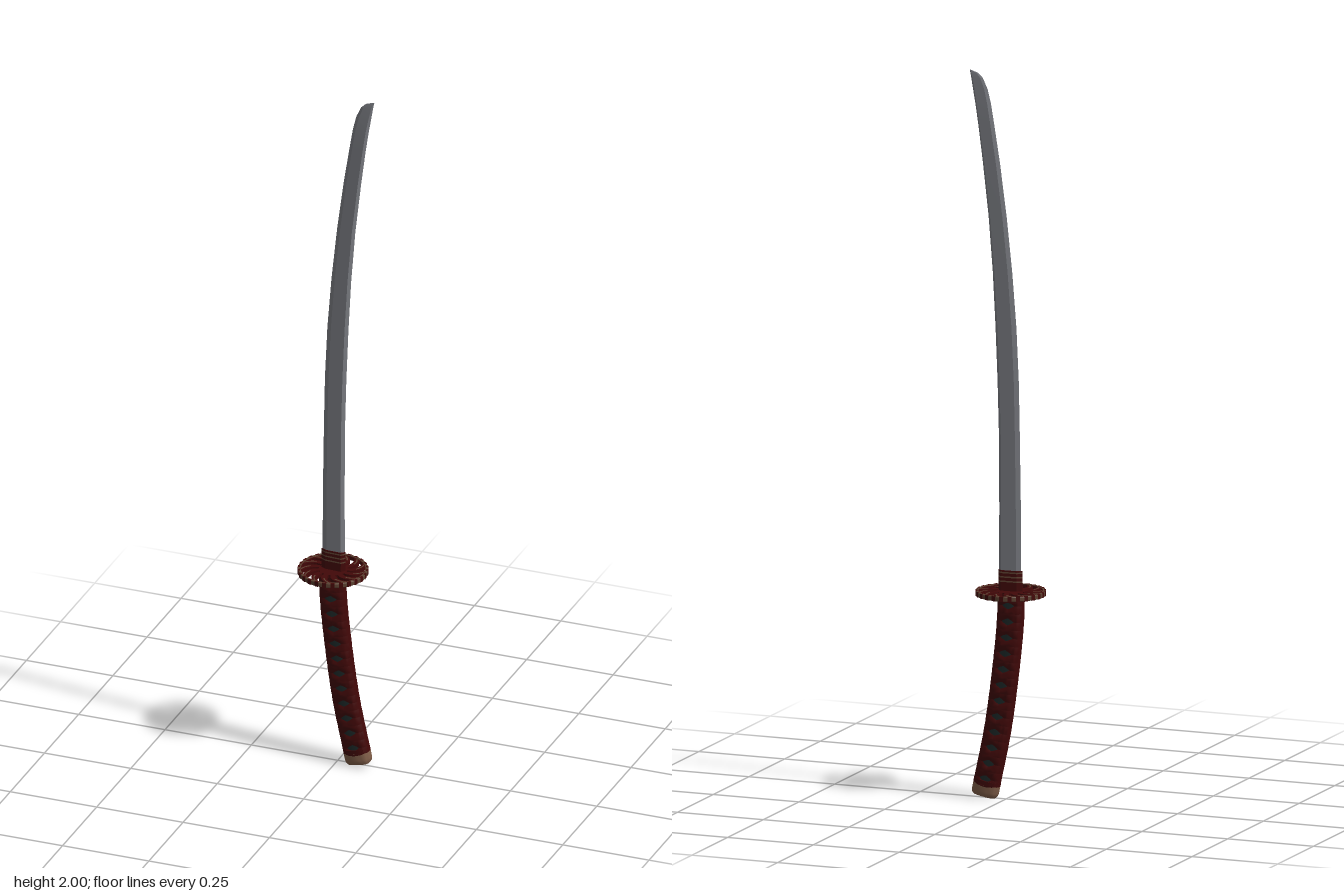
import * as THREE from 'three';
import { toCreasedNormals } from 'three/addons/utils/BufferGeometryUtils.js';

const V = (x, y, z) => new THREE.Vector3(x, y, z);

// Skin a stack of closed rings (counterclockwise from above, bottom to top) and cap both ends
function loft(rings, crease) {
  const n = rings[0].length, pos = [], idx = [];
  rings.forEach(r => r.forEach(p => pos.push(p.x, p.y, p.z)));
  for (let i = 0; i < rings.length - 1; i++) {
    for (let j = 0; j < n; j++) {
      const k = (j + 1) % n, a = i * n + j, b = i * n + k;
      idx.push(a, b, a + n, b, b + n, a + n);
    }
  }
  const top = (rings.length - 1) * n;
  for (let j = 1; j < n - 1; j++) {
    idx.push(0, j + 1, j);
    idx.push(top, top + j, top + j + 1);
  }
  return finish(pos, idx, crease);
}

function finish(pos, idx, crease) {
  const g = new THREE.BufferGeometry();
  g.setAttribute('position', new THREE.Float32BufferAttribute(pos, 3));
  g.setIndex(idx);
  return toCreasedNormals(g, crease);
}

// Curved grip: bottom to top centre line, with a rounded oval section
const gripPath = new THREE.CatmullRomCurve3([
  V(0.0625, 0.008, 0), V(0.055, 0.045, 0), V(0.023, 0.2, 0),
  V(-0.004, 0.4, 0), V(-0.013, 0.5, 0), V(-0.0145, 0.566, 0)]);

function gripPoint(t, angle, a, b) {
  t = Math.min(1, Math.max(0, t));
  const p = gripPath.getPointAt(t), d = gripPath.getTangentAt(t);
  const soft = v => Math.sign(v) * Math.pow(Math.abs(v), 0.75);
  const u = a * soft(Math.cos(angle)), w = b * soft(Math.sin(angle));
  return V(p.x + u * d.y, p.y - u * d.x, -w);
}

function gripRing(t, a, b, n = 28) {
  return Array.from({ length: n }, (_, j) => gripPoint(t, j / n * Math.PI * 2, a, b));
}

// One cord band winding round the grip, spreading to cover the narrow sides
function cordBand(start, dir, t0, t1, turns) {
  const steps = turns * 32, pos = [], idx = [];
  for (let i = 0; i <= steps; i++) {
    const s = i / steps, angle = start + dir * s * turns * Math.PI * 2;
    const half = 0.022 + 0.021 * Math.abs(Math.cos(angle));
    for (let k = -2; k <= 2; k++) {
      const t = THREE.MathUtils.clamp(t0 + (t1 - t0) * s + k / 2 * half, t0, t1);
      const lift = 0.004 * (1 - (k / 2) ** 2);
      pos.push(...gripPoint(t, angle, 0.037, 0.021 + lift).toArray());
    }
    if (i === steps) break;
    for (let k = 0; k < 4; k++) {
      const a = i * 5 + k;
      if (dir > 0) idx.push(a, a + 5, a + 1, a + 5, a + 6, a + 1);
      else idx.push(a, a + 1, a + 5, a + 5, a + 1, a + 6);
    }
  }
  return finish(pos, idx, 1);
}

// Blade section: sharp edge at -x, ridge, then a bevelled spine at +x
function bladeRing(y, edge, spine, t) {
  const w = spine - edge, at = f => edge + w * f;
  return [V(spine, y, 0), V(at(0.86), y, -t), V(at(0.2), y, -t * 0.75), V(edge, y, 0),
    V(at(0.2), y, t * 0.75), V(at(0.86), y, t)];
}

// Guard: curved sectors between hub and rim, used for slots and spoke inlays
const guardX = -0.0135, slots = 13, slotStep = Math.PI * 2 / slots;

function sector(index, f0, f1, halfWidth) {
  const pts = [];
  const add = (f, side) => {
    const r = 0.039 + 0.047 * f;
    const a = index * slotStep + 0.38 * f * f + side * slotStep * halfWidth(f);
    pts.push(new THREE.Vector2(guardX + r * Math.cos(a), r * Math.sin(a)));
  };
  for (let k = 0; k <= 6; k++) add(f0 + (f1 - f0) * k / 6, -1);
  for (let k = 6; k >= 0; k--) add(f0 + (f1 - f0) * k / 6, 1);
  return pts;
}

function flatPlate(shape, y, depth) {
  const g = new THREE.ExtrudeGeometry(shape, { depth, bevelEnabled: false, curveSegments: 48 });
  return g.rotateX(-Math.PI / 2).translate(0, y, 0);
}

export function createModel() {
  const material = (name, color, side = THREE.FrontSide) =>
    Object.assign(new THREE.MeshStandardMaterial({ color, side }), { name });
  const steel = material('steel', 0x7f8187);
  const red = material('dark red', 0x420808, THREE.DoubleSide);
  const dark = material('dark skin', 0x1e2a2a);
  const bronze = material('bronze', 0x5c4030);
  const tan = material('tan horn', 0x82604a);

  const model = new THREE.Group();
  model.name = 'sword';
  const add = (name, geometry, mat, parent = model) => {
    const mesh = new THREE.Mesh(geometry, mat);
    mesh.name = name;
    parent.add(mesh);
    return mesh;
  };

  // Blade: height, edge x, spine x, half thickness
  const stations = [
    [0.575, -0.044, 0.021, 0.0075], [0.8, -0.043, 0.02, 0.0075], [1.0, -0.04, 0.021, 0.0075],
    [1.15, -0.037, 0.025, 0.0075], [1.3, -0.03, 0.031, 0.0074], [1.45, -0.018, 0.039, 0.0073],
    [1.6, -0.002, 0.051, 0.0072], [1.75, 0.018, 0.068, 0.007], [1.85, 0.034, 0.081, 0.007],
    [1.91, 0.044, 0.09, 0.0068], [1.95, 0.054, 0.097, 0.0045], [1.98, 0.068, 0.102, 0.003],
    [1.993, 0.082, 0.1045, 0.0018], [2.0, 0.1035, 0.106, 0.0004]];
  add('blade', loft(stations.map(s => bladeRing(...s)), 0.15), steel);

  // Blade collar in alternating bands
  const collar = [0.572, 0.6, 0.604, 0.612, 0.616, 0.624, 0.628, 0.632];
  for (let i = 0; i < collar.length - 1; i++) {
    add('bladeCollar', loft([bladeRing(collar[i], -0.0475, 0.0225, 0.0105),
      bladeRing(collar[i + 1], -0.047, 0.0225, 0.01)], 0.3), i % 2 ? bronze : red);
  }

  // Guard plate with swirling slots
  const guard = new THREE.Group();
  guard.name = 'guard';
  model.add(guard);
  const outline = new THREE.Shape();
  outline.absarc(guardX, 0, 0.09, 0, Math.PI * 2);
  for (let i = 0; i < slots; i++) {
    outline.holes.push(new THREE.Path(sector(i, 0, 1, f => 0.17 + 0.08 * f)));
  }
  add('guardPlate', flatPlate(outline, 0.566, 0.01), red, guard);

  // Bronze inlay on the outer part of each spoke, above and below
  for (let i = 0; i < slots; i++) {
    const inlay = new THREE.Shape(sector(i + 0.5, 0.5, 1, () => 0.07));
    add('spokeInlay', flatPlate(inlay, 0.5655, 0.011), bronze, guard);
  }

  // Guard rim with red inlays
  const rimProfile = [[0.0875, 0.5645], [0.094, 0.5645], [0.095, 0.566], [0.095, 0.576],
    [0.094, 0.5775], [0.0875, 0.5775], [0.0875, 0.5645]].map(p => new THREE.Vector2(...p));
  const rim = toCreasedNormals(new THREE.LatheGeometry(rimProfile, 56), 0.5);
  add('guardRim', rim.translate(guardX, 0, 0), bronze, guard);
  for (let i = 0; i < 26; i++) {
    const a = i / 26 * Math.PI * 2;
    const stud = add('rimInlay', new THREE.BoxGeometry(0.0056, 0.0138, 0.011), red, guard);
    stud.position.set(guardX + 0.0925 * Math.cos(a), 0.571, -0.0925 * Math.sin(a));
    stud.rotation.y = a;
  }

  // Grip core and crossing cord bands
  const grip = new THREE.Group();
  grip.name = 'grip';
  model.add(grip);
  const rows = Array.from({ length: 25 }, (_, i) => gripRing(0.05 + 0.95 * i / 24, 0.0335, 0.0208));
  add('gripCore', loft(rows, 0.7), dark, grip);
  for (const dir of [1, -1]) {
    for (const start of [Math.PI / 2, -Math.PI / 2]) {
      add('cordBand', cordBand(start, dir, 0.05, 0.99, 6), red, grip);
    }
  }
  add('gripCollar', loft([0.965, 1].map(t => gripRing(t, 0.0375, 0.0245)), 0.7), red, grip);
  add('gripFoot', loft([0.058, 0.078].map(t => gripRing(t, 0.0375, 0.0245)), 0.7), red, grip);

  // Pommel cap
  add('pommel', loft([[0, 0.032, 0.021], [0.008, 0.0355, 0.0235], [0.025, 0.0373, 0.0244],
    [0.061, 0.0373, 0.0244]].map(s => gripRing(...s)), 0.9), tan);

  return model;
}
